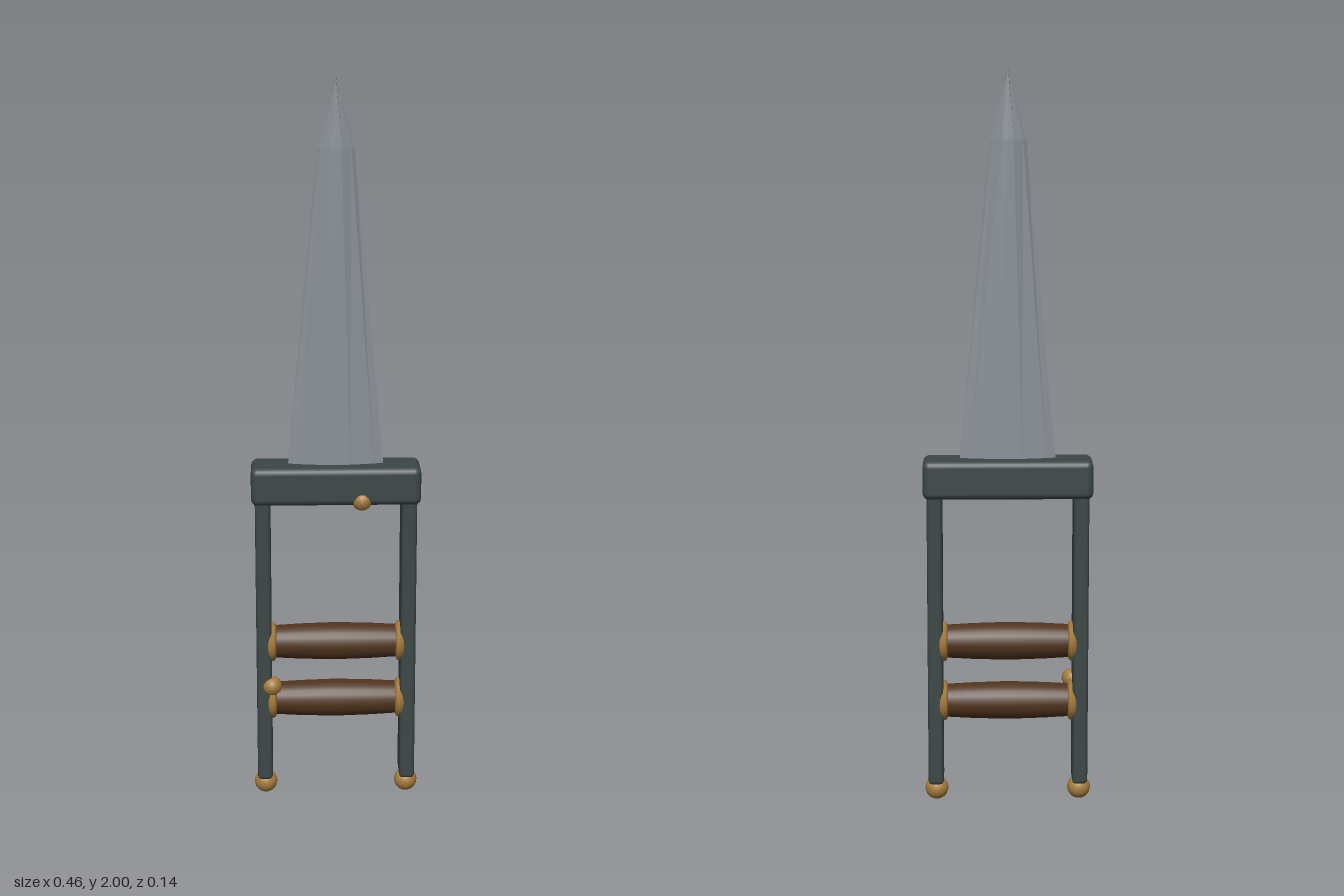
import * as THREE from 'three';
import { RoundedBoxGeometry } from 'three/addons/geometries/RoundedBoxGeometry.js';

const material = (name, color) => {
  const m = new THREE.MeshStandardMaterial({ color });
  m.name = name;
  return m;
};

// Faceted blade lofted through a few scaled lens sections
function bladeGeometry(z0) {
  const half = [[1, 0], [0.8, 0.4], [0.3, 0.95], [0, 1], [-0.3, 0.95], [-0.8, 0.4]];
  const section = [...half, ...half.map(([x, z]) => [-x, -z])];
  const levels = [[0.95, 0.131, 0.018], [1.82, 0.05, 0.023], [2, 0.002, 0.016]]; // y, half width, half depth
  const point = (l, i) => {
    const [y, w, d] = levels[l], [x, z] = section[i % section.length];
    return [x * w, y, z0 + z * d];
  };
  const pos = [], n = section.length;
  for (let l = 0; l < levels.length - 1; l++) {
    for (let i = 0; i < n; i++) {
      const a = point(l, i), b = point(l, i + 1), c = point(l + 1, i + 1), d = point(l + 1, i);
      pos.push(...a, ...d, ...b, ...b, ...d, ...c);
    }
  }
  // Tip cap
  const top = levels.length - 1;
  for (let i = 0; i < n; i++) pos.push(0, 2, z0, ...point(top, i + 1), ...point(top, i));
  const g = new THREE.BufferGeometry();
  g.setAttribute('position', new THREE.Float32BufferAttribute(pos, 3));
  g.computeVertexNormals();
  return g;
}

export function createModel() {
  const root = new THREE.Group();
  root.name = 'punchDagger';
  const steel = material('bladeSteel', 0x8b9199);
  steel.side = THREE.DoubleSide;
  const iron = material('darkIron', 0x3d4646);
  const leather = material('brownLeather', 0x50351f);
  const brass = material('brass', 0xa67c3e);

  const add = (name, geometry, mat, x = 0, y = 0, z = 0) => {
    const mesh = new THREE.Mesh(geometry, mat);
    mesh.name = name;
    mesh.position.set(x, y, z);
    root.add(mesh);
    return mesh;
  };

  add('blade', bladeGeometry(-0.006), steel);
  add('guard', new RoundedBoxGeometry(0.46, 0.105, 0.125, 3, 0.018), iron, 0, 0.917, -0.0075);

  // Side bars with ball feet
  for (const [side, s] of [['left', 1], ['right', -1]]) {
    add(side + 'Bar', new RoundedBoxGeometry(0.042, 0.835, 0.096, 2, 0.01), iron, s * 0.199, 0.4725, -0.0025);
    add(side + 'Foot', new THREE.SphereGeometry(0.032, 20, 14), brass, s * 0.198, 0.032, -0.002);
  }

  // Hand grips swelling slightly in the middle, with brass collars
  const profile = [[0.045, -0.172], [0.049, -0.1], [0.052, 0], [0.049, 0.1], [0.045, 0.172]]
    .map(([r, y]) => new THREE.Vector2(r, y));
  const collar = [[0, -0.024], [0.036, -0.022], [0.055, -0.007], [0.055, 0.005], [0.044, 0.012], [0, 0.012]]
    .map(([r, y]) => new THREE.Vector2(r, y));
  for (const [name, y] of [['upper', 0.455], ['lower', 0.285]]) {
    add(name + 'Grip', new THREE.LatheGeometry(profile, 24), leather, 0, y, -0.002).rotation.z = Math.PI / 2;
    for (const s of [1, -1]) {
      add(name + 'Collar', new THREE.LatheGeometry(collar, 20), brass, s * 0.176, y, -0.002)
        .rotation.z = s * Math.PI / 2;
    }
  }

  // Small brass studs on the guard and the right bar
  const stud = new THREE.IcosahedronGeometry(0.028, 1);
  add('guardStud', stud, brass, 0.07, 0.876, 0.038);
  add('barStud', stud, brass, -0.178, 0.337, 0.033);
  return root;
}
